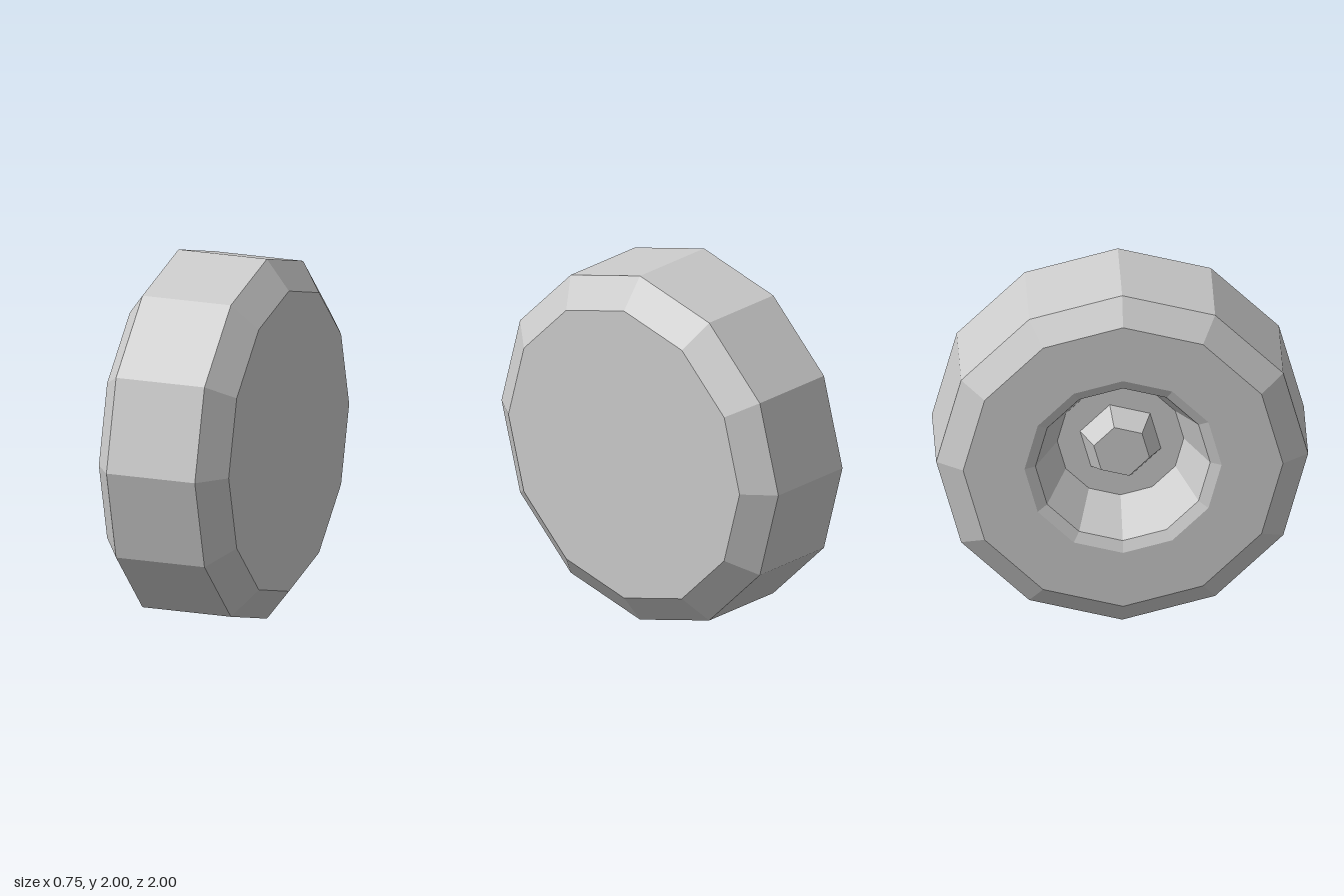
import * as THREE from 'three';

// Faceted solid of revolution about the x axis; profile holds [radius, x] pairs.
function turned(name, profile, sides, start = 0) {
  const points = profile.map(([r, x]) => new THREE.Vector2(r, x));
  const geometry = new THREE.LatheGeometry(points, sides, start);
  geometry.rotateZ(-Math.PI / 2);
  const material = new THREE.MeshStandardMaterial({ color: 0xcccccc, flatShading: true });
  const mesh = new THREE.Mesh(geometry, material);
  mesh.name = name;
  mesh.position.y = 1;
  return mesh;
}

export function createModel() {
  const model = new THREE.Group();
  model.name = 'wheel';

  // Tyre: recessed dish, chamfered lip, outer wall, tread and flat inner face
  model.add(turned('tyre', [
    [0, -0.075], [0.34, -0.075], [0.47, -0.345], [0.53, -0.373],
    [0.86, -0.373], [1, -0.27], [1, 0.245], [0.835, 0.373], [0, 0.373],
  ], 12));

  // Six-sided tapered hub standing in the dish
  model.add(turned('hub', [
    [0, -0.205], [0.155, -0.205], [0.225, -0.075],
  ], 6, -Math.PI / 4));

  return model;
}
